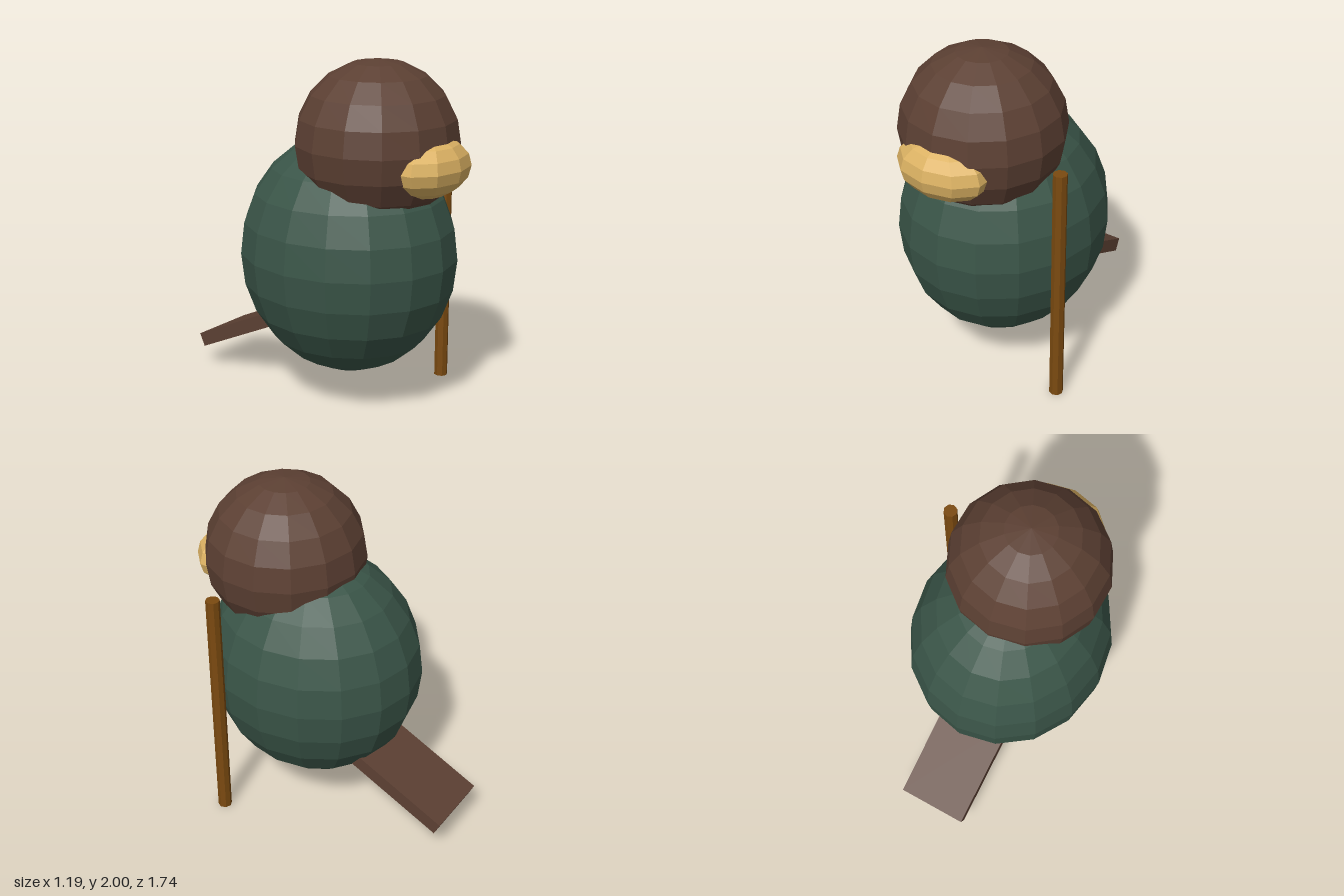
import * as THREE from 'three';

export function createModel() {
  const model = new THREE.Group();
  model.name = 'beaver';

  const paint = (name, color) => {
    const m = new THREE.MeshStandardMaterial({ color, flatShading: true });
    m.name = name;
    return m;
  };
  const brown = paint('fur brown', 0x5c4033);
  const green = paint('dark green', 0x3a5548);
  const tan = paint('tan', 0xdcb263);
  const wood = paint('wood', 0x7b4a10);
  const midX = -0.008;

  const add = (name, geometry, material, x, y, z) => {
    const mesh = new THREE.Mesh(geometry, material);
    mesh.name = name;
    mesh.position.set(x, y, z);
    model.add(mesh);
    return mesh;
  };

  // Faceted ellipsoid with a meridian facing the front
  const ellipsoid = (rx, ry, rz, around, rows) =>
    new THREE.SphereGeometry(1, around, rows).rotateY(Math.PI / 2).scale(rx, ry, rz);

  // Rounded body, head and snout
  add('body', ellipsoid(0.586, 0.7, 0.645, 16, 12), green, midX, 0.87, 0.125);
  add('head', ellipsoid(0.465, 0.465, 0.465, 14, 10), brown, midX, 1.535, 0.32);
  add('snout', ellipsoid(0.286, 0.17, 0.2, 10, 8), tan, midX, 1.447, 0.667);

  // Flat tail sloping down behind the body
  const tail = add('tail', new THREE.BoxGeometry(0.415, 0.083, 0.7), brown, midX, 0.307, -0.534);
  tail.rotation.x = THREE.MathUtils.degToRad(-25);

  // Walking staff at the left side
  add('staff', new THREE.CylinderGeometry(0.04, 0.04, 1.468, 8), wood, 0.551, 0.734, 0.417);

  return model;
}
